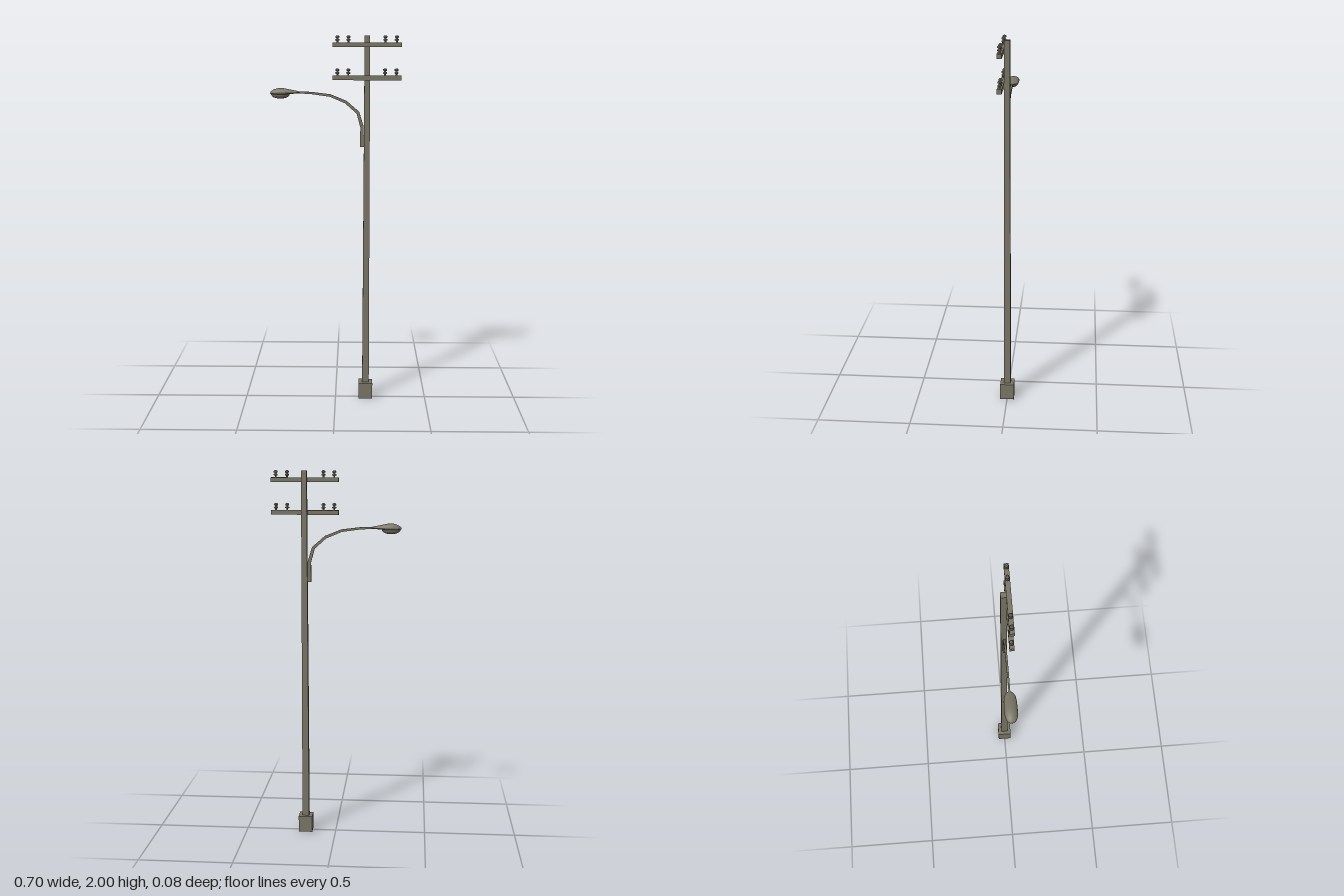
import * as THREE from 'three';

const metal = new THREE.MeshStandardMaterial({ color: 0x7a7666 });
metal.name = 'weathered grey metal';
const POLE_X = 0.168;

// Skins a list of rings (arrays of [x, y, z]) and closes both ends
function loft(rings, flat) {
  const n = rings[0].length, last = rings.length - 1;
  const pos = rings.flat(2), index = [];
  for (let i = 0; i < last; i++) {
    for (let j = 0; j < n; j++) {
      const a = i * n + j, b = i * n + (j + 1) % n;
      index.push(a, b, b + n, a, b + n, a + n);
    }
  }
  for (let j = 1; j < n - 1; j++) {
    index.push(0, j + 1, j);
    index.push(last * n, last * n + j, last * n + j + 1);
  }
  let g = new THREE.BufferGeometry();
  g.setAttribute('position', new THREE.Float32BufferAttribute(pos, 3));
  g.setIndex(index);
  if (flat) g = g.toNonIndexed();
  g.computeVertexNormals();
  return g;
}

function add(parent, name, geometry, x = 0, y = 0, z = 0) {
  const mesh = new THREE.Mesh(geometry, metal);
  mesh.name = name;
  mesh.position.set(x, y, z);
  parent.add(mesh);
  return mesh;
}

// Square-section bracket that thins towards the lamp
function armGeometry() {
  const path = [[0.142, 1.41], [0.142, 1.517], [0.12, 1.593], [0.055, 1.65],
    [-0.03, 1.685], [-0.13, 1.698], [-0.22, 1.702]];
  return loft(path.map(([x, y], i) => {
    const p = path[Math.max(i - 1, 0)], q = path[Math.min(i + 1, path.length - 1)];
    const dx = q[0] - p[0], dy = q[1] - p[1], len = Math.hypot(dx, dy);
    const t = i / (path.length - 1);
    const w = 0.01 - 0.005 * t, d = 0.007 - 0.003 * t;
    return [[1, 1], [-1, 1], [-1, -1], [1, -1]].map(([u, v]) =>
      [x + u * w * dy / len, y - u * w * dx / len, -v * d]);
  }), true);
}

// Lamp housing: domed top, shallow underside; stations are x, half width, top, bottom
function housingGeometry() {
  const stations = [[-0.348, 0.008, 1.701, 1.694], [-0.342, 0.019, 1.709, 1.691],
    [-0.328, 0.027, 1.717, 1.689], [-0.305, 0.032, 1.724, 1.688], [-0.275, 0.032, 1.723, 1.689],
    [-0.24, 0.031, 1.716, 1.692], [-0.215, 0.027, 1.711, 1.695], [-0.199, 0.018, 1.708, 1.697],
    [-0.191, 0.007, 1.705, 1.699]];
  return loft(stations.map(([x, w, top, bottom]) => {
    const mid = bottom + (top - bottom) * 0.35;
    return Array.from({ length: 16 }, (_, k) => {
      const a = k / 16 * Math.PI * 2, c = Math.cos(a);
      return [x, mid - c * (c > 0 ? mid - bottom : top - mid), -Math.sin(a) * w];
    });
  }), false);
}

export function createModel() {
  const model = new THREE.Group();
  model.name = 'streetLightPole';

  // Footing and tapered square pole
  add(model, 'base', new THREE.BoxGeometry(0.076, 0.09, 0.076), POLE_X, 0.045, 0);
  const r = Math.SQRT2;
  const pole = new THREE.CylinderGeometry(0.0145 * r, 0.0185 * r, 1.92, 4, 1).rotateY(Math.PI / 4).toNonIndexed();
  pole.computeVertexNormals();
  add(model, 'pole', pole, POLE_X, 1.04, 0);

  // Lamp arm, housing and bulging lens
  add(model, 'lampArm', armGeometry());
  add(model, 'lampHousing', housingGeometry());
  const lens = new THREE.SphereGeometry(1, 16, 6, 0, Math.PI * 2, Math.PI / 2, Math.PI / 2);
  add(model, 'lampLens', lens.scale(0.05, 0.024, 0.027), -0.294, 1.692, 0);

  // Ribbed insulator: stem with two skirts
  const profile = [[0, 0], [0.005, 0], [0.005, 0.008], [0.011, 0.011], [0.011, 0.016],
    [0.005, 0.02], [0.005, 0.023], [0.011, 0.026], [0.01, 0.033], [0.005, 0.037], [0, 0.037]];
  const insulator = new THREE.LatheGeometry(profile.map(p => new THREE.Vector2(...p)), 8).toNonIndexed();
  insulator.computeVertexNormals();

  // Two cross arms on the front of the pole, four insulators each
  for (const [name, top] of [['upperCrossArm', 1.963], ['lowerCrossArm', 1.791]]) {
    const group = new THREE.Group();
    group.name = name;
    group.position.set(POLE_X - 0.001, top, 0.026);
    add(group, 'beam', new THREE.BoxGeometry(0.362, 0.024, 0.024), 0, -0.012, 0);
    for (const x of [-0.157, -0.099, 0.095, 0.155]) add(group, 'insulator', insulator, x, 0, 0);
    model.add(group);
  }
  return model;
}
